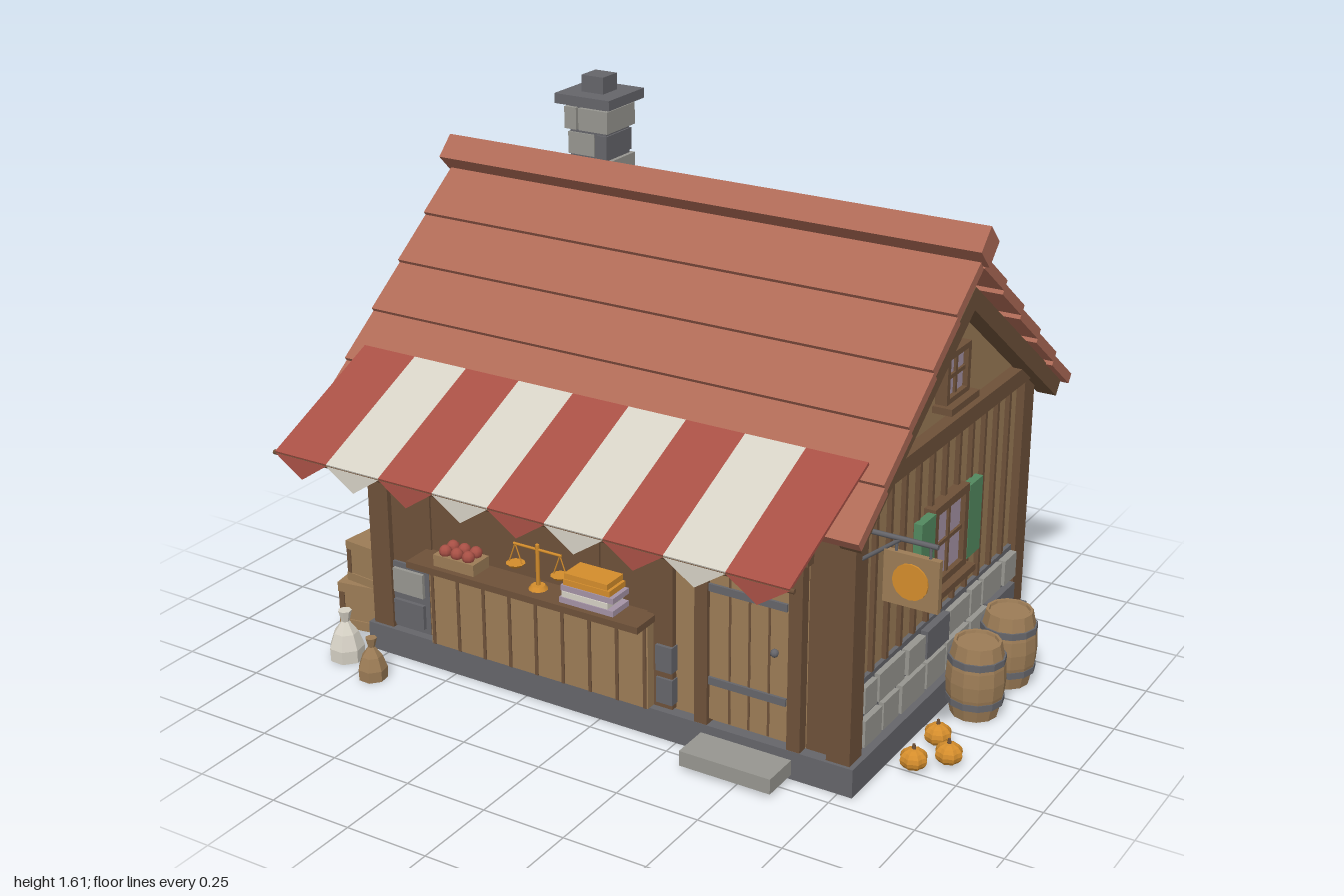
import * as THREE from 'three';

const mat = (name, color) => Object.assign(new THREE.MeshStandardMaterial({ color }), { name });
const darkWood = mat('dark wood', 0x6e5139), lightWood = mat('light wood', 0x9c7c56);
const darkStone = mat('dark stone', 0x65656a), lightStone = mat('light stone', 0x979690);
const tile = mat('roof tile', 0xae6a56), red = mat('awning red', 0xa85045);
const cream = mat('cream cloth', 0xd6d1c5), gold = mat('pumpkin gold', 0xd48d2c);
const green = mat('shutter green', 0x52895f), glass = mat('violet glass', 0xa593a6);

let seed = 7;
const rnd = () => (seed = (seed * 16807) % 2147483647) / 2147483647;

function add(parent, name, geo, m, x = 0, y = 0, z = 0) {
  const mesh = new THREE.Mesh(geo, m);
  mesh.name = name;
  mesh.position.set(x, y, z);
  parent.add(mesh);
  return mesh;
}
const box = (p, name, m, w, h, d, x, y, z) => add(p, name, new THREE.BoxGeometry(w, h, d), m, x, y, z);
function group(p, name, x = 0, y = 0, z = 0, ry = 0) {
  const g = new THREE.Group();
  g.name = name;
  g.position.set(x, y, z);
  g.rotation.y = ry;
  p.add(g);
  return g;
}
function faceted(geo) {
  const g = geo.toNonIndexed();
  g.computeVertexNormals();
  return g;
}
const lathe = (pts, n) => faceted(new THREE.LatheGeometry(pts.map(p => new THREE.Vector2(...p)), n));
// Extrudes an outline in z, centred on z = 0
function slab(pts, depth) {
  const s = new THREE.Shape(pts.map(p => new THREE.Vector2(...p)));
  return new THREE.ExtrudeGeometry(s, { depth, bevelEnabled: false }).translate(0, 0, -depth / 2);
}
// Straight bar between two points
function bar(p, name, m, a, b, r) {
  const va = new THREE.Vector3(...a), vb = new THREE.Vector3(...b);
  const mesh = add(p, name, new THREE.CylinderGeometry(r, r, va.distanceTo(vb), 6), m);
  mesh.position.copy(va).add(vb).multiplyScalar(0.5);
  mesh.quaternion.setFromUnitVectors(new THREE.Vector3(0, 1, 0), vb.sub(va).normalize());
}

// Framed window facing +z; cols and rows are the numbers of panes
function windowUnit(p, name, x, y, w, h, cols, rows) {
  const g = group(p, name, x, y, 0);
  const f = Math.min(0.024, w * 0.12);
  box(g, 'glass', glass, w - f, h - f, 0.03, 0, 0, 0.005);
  for (const s of [-1, 1]) {
    box(g, 'frameSide', darkWood, f, h, 0.05, s * (w - f) / 2, 0, 0.01);
    box(g, 'frameRail', darkWood, w, f, 0.05, 0, s * (h - f) / 2, 0.01);
  }
  for (let i = 1; i < cols; i++) box(g, 'bar', darkWood, 0.012, h, 0.03, (i / cols - 0.5) * (w - f), 0, 0.012);
  for (let i = 1; i < rows; i++) box(g, 'bar', darkWood, w, 0.012, 0.03, 0, (i / rows - 0.5) * (h - f), 0.012);
  box(g, 'sill', darkWood, w + 0.03, 0.02, 0.075, 0, -h / 2 - 0.008, 0.02);
}

function stones(p, x0, x1) {
  for (const y of [0.145, 0.245]) {
    for (let x = x0; x < x1 - 0.02;) {
      let w = 0.075 + rnd() * 0.09;
      if (x + w > x1 - 0.05) w = x1 - x;
      box(p, 'stone', rnd() < 0.6 ? lightStone : darkStone, w - 0.013, 0.075 + rnd() * 0.012, 0.03 + rnd() * 0.015,
        x + w / 2, y, 0.012);
      x += w;
    }
  }
}

// Plank wall with battens over a stone plinth, facing +z
function plankWall(p, name, len, x, z, ry) {
  const g = group(p, name, x, 0, z, ry);
  box(g, 'plinth', darkStone, len, 0.21, 0.024, 0, 0.195, 0);
  stones(g, -len / 2 + 0.01, len / 2 - 0.01);
  const n = Math.round(len / 0.085);
  for (let i = 1; i < n; i++) box(g, 'batten', darkWood, 0.014, 0.53, 0.02, (i / n - 0.5) * len, 0.565, 0.004);
  return g;
}

function house(root) {
  const h = group(root, 'house', -0.012, 0, -0.12);
  box(h, 'foundation', darkStone, 1.61, 0.085, 1.14, 0, 0.0425, 0);
  add(h, 'walls', slab([[-0.535, 0.08], [0.535, 0.08], [0.535, 0.82], [0, 1.21], [-0.535, 0.82]], 1.53), lightWood)
    .rotation.y = Math.PI / 2;
  for (const sx of [-1, 1]) for (const sz of [-1, 1])
    box(h, 'cornerPost', darkWood, 0.07, 0.74, 0.07, sx * 0.755, 0.455, sz * 0.525);

  // Gable ends
  for (const s of [-1, 1]) {
    const g = plankWall(h, 'gableWall', 1, s * 0.765, 0, s * Math.PI / 2);
    windowUnit(g, 'sideWindow', 0, 0.525, 0.22, 0.25, 2, 2);
    windowUnit(g, 'atticWindow', 0, 1.01, 0.145, 0.145, 2, 2);
    for (const k of [-1, 1]) box(g, 'shutter', green, 0.085, 0.225, 0.025, k * 0.152, 0.528, 0.024);
    box(g, 'tieBeam', darkWood, 1.06, 0.05, 0.05, 0, 0.855, 0.012);
    add(g, 'bargeBoards', slab([[0.65, 0.785], [0, 1.26], [-0.65, 0.785], [-0.62, 0.742], [0, 1.195], [0.62, 0.742]], 0.06),
      darkWood, 0, 0, 0.04);
  }

  // Back wall
  const back = plankWall(h, 'backWall', 1.45, 0, -0.535, Math.PI);
  for (const s of [-1, 1]) windowUnit(back, 'barredWindow', s * 0.39, 0.545, 0.2, 0.24, 4, 1);
  for (const s of [-1, 1]) box(h, 'wallPlate', darkWood, 1.5, 0.06, 0.05, 0, 0.79, s * 0.535);

  // Overlapping roof rows
  const tilt = 0.63, len = 0.172, t = 0.03;
  for (const ry of [0, Math.PI]) {
    const side = group(h, 'roofSlope', 0, 0, 0, ry);
    for (let i = 1; i <= 5; i++) {
      const z = 0.03 + 0.13 * i - len / 2 * Math.cos(tilt) - t / 2 * Math.sin(tilt);
      const y = 1.345 - 0.11 * i + len / 2 * Math.sin(tilt) - t / 2 * Math.cos(tilt);
      box(side, 'roofRow', tile, 1.71, t, len, 0, y, z).rotation.x = tilt;
    }
  }
  box(h, 'ridge', tile, 1.74, 0.08, 0.08, 0, 1.375, 0).rotation.x = Math.PI / 4;
}

function chimney(root) {
  const g = group(root, 'chimney', -0.51, 0, -0.36);
  box(g, 'core', darkStone, 0.125, 0.55, 0.125, 0, 1.265, 0);
  for (let i = 0; i < 7; i++) {
    const w = i % 2 ? 0.135 : 0.15, split = (i % 2 ? 0.2 : -0.2) * w, y = 1.03 + i * 0.076;
    for (const s of [-1, 1]) {
      const a = s < 0 ? -w / 2 : split + 0.004, b = s < 0 ? split - 0.004 : w / 2;
      const stone = (i * 3 + s) % 4 === 0 ? darkStone : lightStone;
      box(g, 'chimneyStone', stone, b - a, 0.066, w, (a + b) / 2, y, 0);
    }
  }
  box(g, 'cap', darkStone, 0.19, 0.03, 0.19, 0, 1.545, 0);
  box(g, 'pot', darkStone, 0.075, 0.05, 0.075, 0, 1.585, 0);
}

function shopFront(root) {
  const f = group(root, 'shopFront', 0, 0, 0.415);
  box(f, 'stallWall', darkWood, 0.95, 0.72, 0.016, -0.265, 0.45, 0);
  for (const x of [-0.6, -0.02, 0.16]) box(f, 'stallPost', darkWood, 0.025, 0.7, 0.03, x, 0.44, 0);
  box(f, 'stallPost', darkWood, 0.06, 0.68, 0.05, 0.2, 0.43, -0.005);
  box(f, 'plinth', darkStone, 0.13, 0.21, 0.024, -0.665, 0.195, 0.004);
  stones(f, -0.73, -0.61);
  stones(f, 0.175, 0.24);
  box(f, 'sidePanel', darkWood, 0.08, 0.68, 0.016, 0.68, 0.43, 0);

  // Counter
  box(f, 'counter', lightWood, 0.74, 0.26, 0.05, -0.2, 0.22, 0.025);
  for (let i = 0; i <= 8; i++) box(f, 'counterBatten', darkWood, 0.01, 0.26, 0.056, -0.56 + i * 0.09, 0.22, 0.025);
  box(f, 'counterTop', darkWood, 0.78, 0.02, 0.12, -0.215, 0.358, 0.05);

  // Door
  box(f, 'door', lightWood, 0.25, 0.54, 0.03, 0.47, 0.37, 0.005);
  for (const x of [0.41, 0.47, 0.53]) box(f, 'doorGroove', darkWood, 0.007, 0.54, 0.032, x, 0.37, 0.005);
  for (const s of [-1, 1]) box(f, 'doorJamb', darkWood, 0.04, 0.6, 0.055, 0.47 + s * 0.143, 0.385, 0.006);
  box(f, 'lintel', darkWood, 0.36, 0.05, 0.065, 0.47, 0.665, 0.008);
  for (const y of [0.22, 0.5]) box(f, 'hinge', darkStone, 0.24, 0.022, 0.008, 0.465, y, 0.024);
  add(f, 'knob', new THREE.SphereGeometry(0.012, 8, 6), darkStone, 0.55, 0.36, 0.028);
  box(f, 'step', lightStone, 0.28, 0.045, 0.12, 0.47, 0.036, 0.09);

  // Goods on the counter
  const g = group(f, 'goods', 0, 0.368, 0.055);
  box(g, 'fruitBox', lightWood, 0.14, 0.035, 0.075, -0.45, 0.018, 0);
  for (let i = 0; i < 6; i++)
    add(g, 'apple', new THREE.SphereGeometry(0.019, 8, 6), red, -0.49 + (i % 3) * 0.04, 0.046, i < 3 ? -0.018 : 0.018);
  bar(g, 'scaleStand', gold, [-0.185, 0, 0], [-0.185, 0.135, 0], 0.006);
  bar(g, 'scaleBeam', gold, [-0.265, 0.12, 0], [-0.105, 0.12, 0], 0.004);
  add(g, 'scaleFoot', new THREE.CylinderGeometry(0.02, 0.028, 0.012, 10), gold, -0.185, 0.006, 0);
  for (const s of [-1, 1]) {
    const x = -0.185 + s * 0.075;
    for (const k of [-1, 1]) bar(g, 'scaleCord', gold, [x, 0.12, 0], [x + k * 0.022, 0.06, 0], 0.002);
    add(g, 'scalePan', new THREE.CylinderGeometry(0.028, 0.018, 0.01, 10), gold, x, 0.056, 0);
  }
  [[glass, 0.175, 0], [cream, 0.15, -0.005], [glass, 0.17, 0.003], [gold, 0.15, 0.002], [gold, 0.14, 0]].forEach(([m, w, x], i) =>
    box(g, 'foldedCloth', m, w, 0.017, 0.08, x, 0.01 + i * 0.019, 0));
}

function awning(root) {
  const g = group(root, 'awning', -0.015, 0, 0);
  const w = 1.6 / 9, tilt = Math.atan2(0.18, 0.4);
  for (let i = 0; i < 9; i++) {
    const m = i % 2 ? cream : red, x = (i - 4) * w;
    box(g, 'stripe', m, w, 0.009, 0.44, x, 0.85, 0.6).rotation.x = tilt;
    add(g, 'pennant', slab([[-w / 2, 0], [0, -0.06], [w / 2, 0]], 0.008), m, x, 0.758, 0.798);
  }
  bar(g, 'awningRod', darkWood, [-0.81, 0.757, 0.795], [0.81, 0.757, 0.795], 0.007);
}

function sign(root) {
  const g = group(root, 'hangingSign', 0, 0, 0.4);
  bar(g, 'bracket', darkStone, [0.77, 0.758, 0], [0.985, 0.758, 0], 0.007);
  bar(g, 'brace', darkStone, [0.77, 0.67, 0], [0.88, 0.755, 0], 0.006);
  for (const x of [0.87, 0.965]) bar(g, 'hanger', darkStone, [x, 0.715, 0], [x, 0.76, 0], 0.004);
  box(g, 'board', lightWood, 0.155, 0.145, 0.018, 0.917, 0.65, 0);
  add(g, 'disc', new THREE.CylinderGeometry(0.05, 0.05, 0.028, 16), gold, 0.917, 0.65, 0).rotation.x = Math.PI / 2;
}

function crate(p, x, y, z, s, ry) {
  const g = group(p, 'crate', x, y + s / 2, z, ry);
  box(g, 'crateBody', lightWood, s * 0.94, s * 0.94, s * 0.94, 0, 0, 0);
  for (const a of [-1, 1]) {
    for (const b of [-1, 1]) box(g, 'crateEdge', darkWood, s * 0.12, s * 0.9, s * 0.12, a * s * 0.43, 0, b * s * 0.43);
    box(g, 'crateSlat', lightWood, s, s * 0.2, s, 0, a * s * 0.4, 0);
  }
}

function yardGoods(root) {
  for (const z of [-0.14, -0.36]) {
    const g = group(root, 'barrel', 0.875, 0, z);
    add(g, 'staves', lathe([[0, 0], [0.068, 0], [0.083, 0.07], [0.086, 0.113], [0.083, 0.155], [0.068, 0.225], [0.06, 0.225], [0.058, 0.217], [0, 0.217]], 12), lightWood);
    for (const y of [0.05, 0.175])
      add(g, 'hoop', lathe([[0.078, y - 0.01], [0.083, y - 0.01], [0.083, y + 0.01], [0.078, y + 0.01]], 12), darkStone);
  }
  for (const [x, z] of [[0.868, 0.085], [0.937, 0.162], [0.868, 0.237]]) {
    const g = group(root, 'pumpkin', x, 0.036, z);
    const geo = new THREE.SphereGeometry(0.04, 16, 8), p = geo.attributes.position;
    for (let i = 0; i < p.count; i++) {
      const k = 0.94 + 0.06 * Math.cos(8 * Math.atan2(p.getZ(i), p.getX(i)));
      p.setXYZ(i, p.getX(i) * k, p.getY(i) * 0.8, p.getZ(i) * k);
    }
    add(g, 'pumpkinBody', faceted(geo), gold);
    add(g, 'stem', new THREE.CylinderGeometry(0.004, 0.007, 0.018, 5), darkWood, 0, 0.036, 0);
  }
  crate(root, -0.925, 0, 0.07, 0.135, 0.5);
  crate(root, -0.915, 0, 0.31, 0.15, 0.15);
  crate(root, -0.885, 0.155, 0.315, 0.13, -0.1);
  for (const [m, x, z, s] of [[cream, -0.835, 0.535, 1.15], [lightWood, -0.695, 0.59, 0.95]]) {
    const g = group(root, 'sack', x, 0, z, 0.4);
    g.scale.setScalar(s);
    add(g, 'sackBody', lathe([[0, 0], [0.045, 0], [0.046, 0.035], [0.032, 0.075], [0.01, 0.105]], 7), m);
    add(g, 'sackNeck', lathe([[0.01, 0.103], [0.018, 0.135], [0, 0.135]], 7), m);
  }
}

export function createModel() {
  const root = new THREE.Group();
  root.name = 'marketCottage';
  [house, chimney, shopFront, awning, sign, yardGoods].forEach(build => build(root));
  return root;
}
